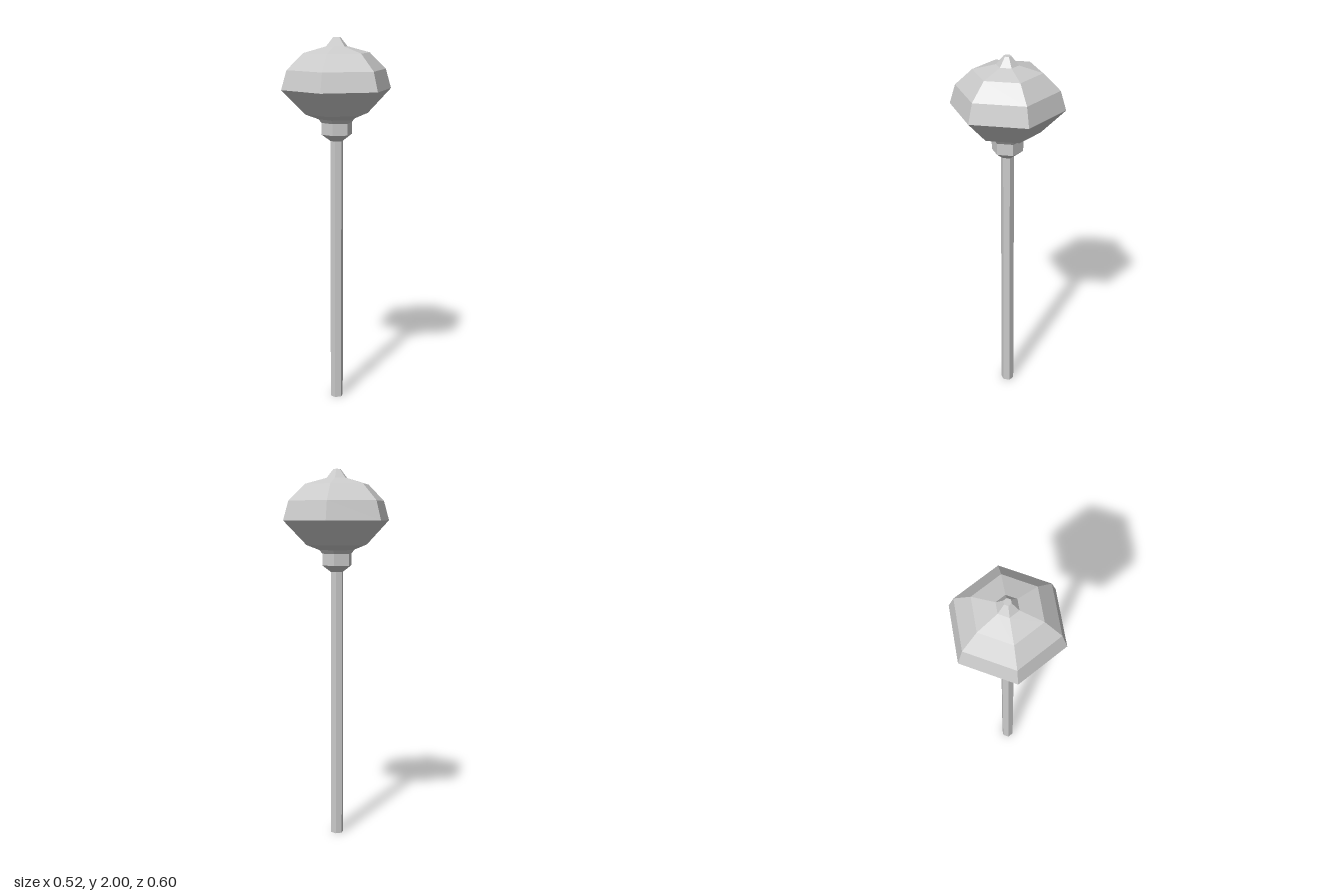
import * as THREE from 'three';

const SIDES = 6; // every part is a hexagonal turning with corners on the z axis

// Turns a [radius, height] profile, listed from bottom to top
function turned(name, profile, material) {
  const points = profile.map(([r, y]) => new THREE.Vector2(r, y));
  const mesh = new THREE.Mesh(new THREE.LatheGeometry(points, SIDES), material);
  mesh.name = name;
  return mesh;
}

export function createModel() {
  const group = new THREE.Group();
  group.name = 'lampPost';
  const material = new THREE.MeshStandardMaterial({ color: 0xcccccc, flatShading: true });

  // Long straight post, closed at the foot
  group.add(turned('post', [[0, 0], [0.035, 0], [0.035, 1.46]], material));

  // Flared collar holding the globe
  group.add(turned('collar', [[0.035, 1.455], [0.083, 1.49], [0.083, 1.553]], material));

  // Faceted globe with a shallow roof
  group.add(turned('globe', [
    [0.083, 1.553], [0.1, 1.573], [0.172, 1.6], [0.3, 1.73],
    [0.27, 1.833], [0.18, 1.92], [0.058, 1.953],
  ], material));

  // Tapered cap on top
  group.add(turned('finial', [[0.058, 1.953], [0.02, 2], [0, 2]], material));

  return group;
}
